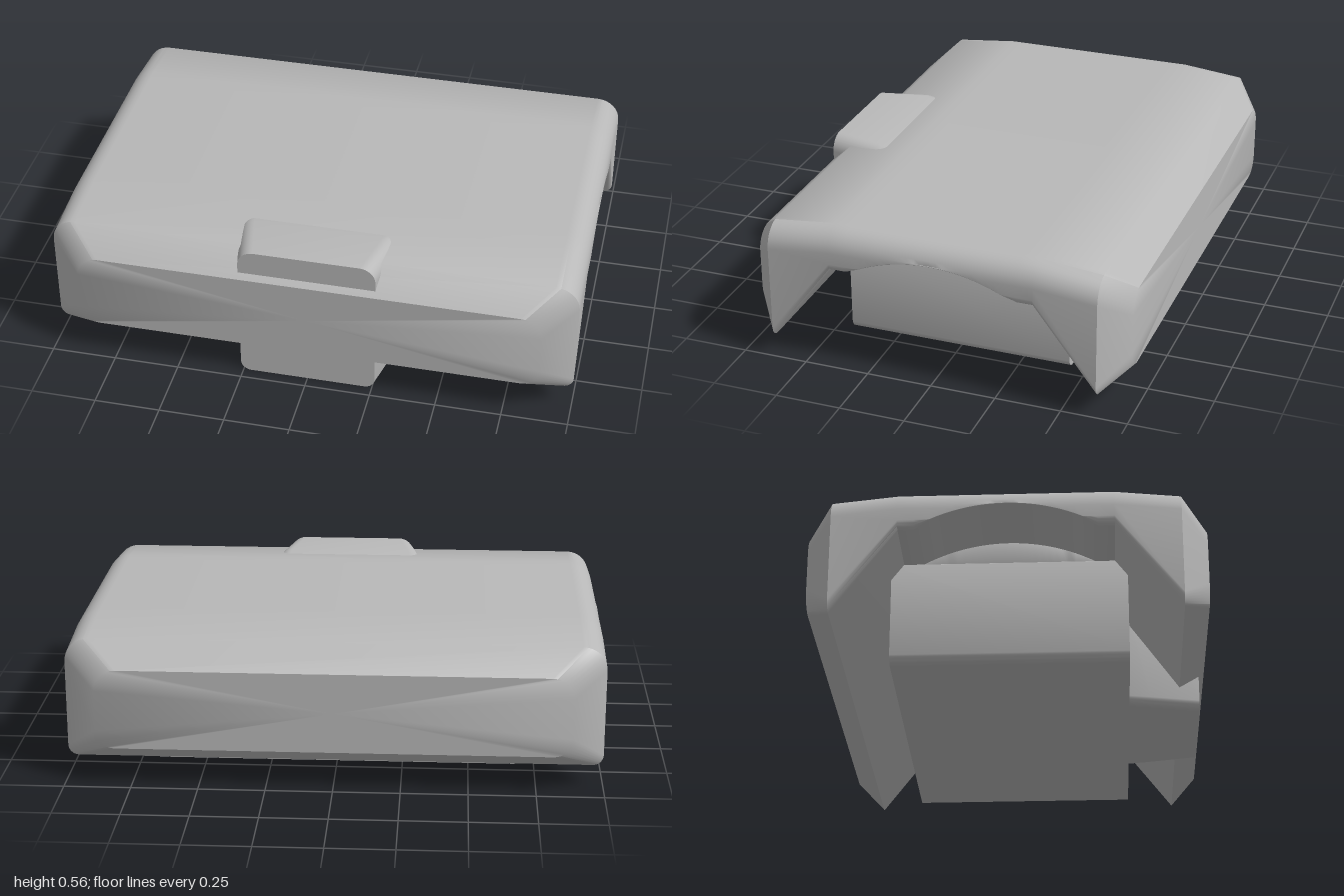
import * as THREE from 'three';
import { toCreasedNormals } from 'three/addons/utils/BufferGeometryUtils.js';

const STEPS = 8;
const ARCH_R = 0.65, ARCH_Y = -0.16; // circle of the arch under the cover
const archTop = (z) => ARCH_Y + Math.sqrt(ARCH_R * ARCH_R - z * z);

// Rounded rectangle, counter-clockwise seen from +z
function ring({ z, w, y0, y1, rt = 0.002, rb = 0.002 }) {
  const pts = [];
  const corner = (cx, cy, r, start) => {
    for (let i = 0; i <= STEPS; i++) {
      const a = start + (i / STEPS) * Math.PI / 2;
      const y = cy + r * Math.sin(a);
      pts.push([cx + r * Math.cos(a), cy === y1 - rt ? Math.max(y, y0 + rb) : y, z]);
    }
  };
  corner(w - rt, y1 - rt, rt, 0);
  corner(-w + rt, y1 - rt, rt, Math.PI / 2);
  corner(-w + rb, y0 + rb, rb, Math.PI);
  corner(w - rb, y0 + rb, rb, Math.PI * 1.5);
  return pts;
}

// Skin over sections ordered from back to front, with both ends capped
function loft(sections, crease) {
  const rings = sections.map(ring);
  const n = rings[0].length, last = rings.length - 1;
  const pos = rings.flat(2), idx = [];
  for (let i = 0; i < last; i++) {
    for (let j = 0; j < n; j++) {
      const k = (j + 1) % n;
      const a = i * n + j, b = i * n + k, c = b + n, d = a + n;
      idx.push(a, b, c, a, c, d);
    }
  }
  [0, last].forEach((s, e) => {
    const { z, y0, y1 } = sections[s];
    const centre = pos.length / 3;
    pos.push(0, (y0 + y1) / 2, z);
    for (let j = 0; j < n; j++) {
      const p = s * n + j, q = s * n + (j + 1) % n;
      idx.push(centre, ...(e ? [p, q] : [q, p]));
    }
  });
  const g = new THREE.BufferGeometry();
  g.setAttribute('position', new THREE.Float32BufferAttribute(pos, 3));
  g.setIndex(idx);
  return toCreasedNormals(g, THREE.MathUtils.degToRad(crease));
}

export function createModel() {
  const group = new THREE.Group();
  const grey = new THREE.MeshStandardMaterial({ color: 0xb8b8b8 });
  grey.name = 'grey';
  const add = (name, geometry) => {
    const mesh = new THREE.Mesh(geometry, grey);
    mesh.name = name;
    group.add(mesh);
  };

  // Cover: bevelled ends, sloping inner walls and an arched underside
  const half = [
    { z: 0.725, w: 0.88, y0: 0.145, y1: 0.45, rt: 0.08, rb: 0.07 },
    { z: 0.63, w: 1, y0: 0.08, y1: 0.54, rt: 0.09, rb: 0.04 },
    { z: 0.39, w: 1, y0: 0.40, y1: 0.565, rt: 0.09, rb: 0.03 },
  ];
  const arch = [];
  for (let i = -12; i <= 12; i++) {
    const z = i / 12 * 0.33, y0 = Math.max(0.40, archTop(z));
    arch.push({ z, w: 1, y0, y1: 0.565, rt: 0.09, rb: Math.max(0.002, 0.43 - y0) });
  }
  const back = half.map((s) => ({ ...s, z: -s.z }));
  add('cover', loft([...back, ...arch, ...half.reverse()], 42));

  // Block under the cover
  const block = { w: 0.715, y0: 0, y1: 0.40, rb: 0.04 };
  add('block', loft([{ ...block, z: -0.437 }, { ...block, z: 0.437 }], 30));

  // Domed filler closing the arch inside the cover
  const dome = arch.map(({ z }) => ({ z, w: 0.7, y0: 0.38, y1: archTop(z) + 0.01 }));
  add('dome', loft(dome, 30));

  // Clip: a tapering tongue passing up through the front of the cover
  add('clip', loft([
    { z: 0.42, w: 0.32, y0: 0, y1: 0.54, rt: 0.06, rb: 0.04 },
    { z: 0.515, w: 0.302, y0: 0, y1: 0.565, rt: 0.06, rb: 0.04 },
    { z: 0.705, w: 0.26, y0: 0, y1: 0.565, rt: 0.06, rb: 0.04 },
  ], 30));

  return group;
}
